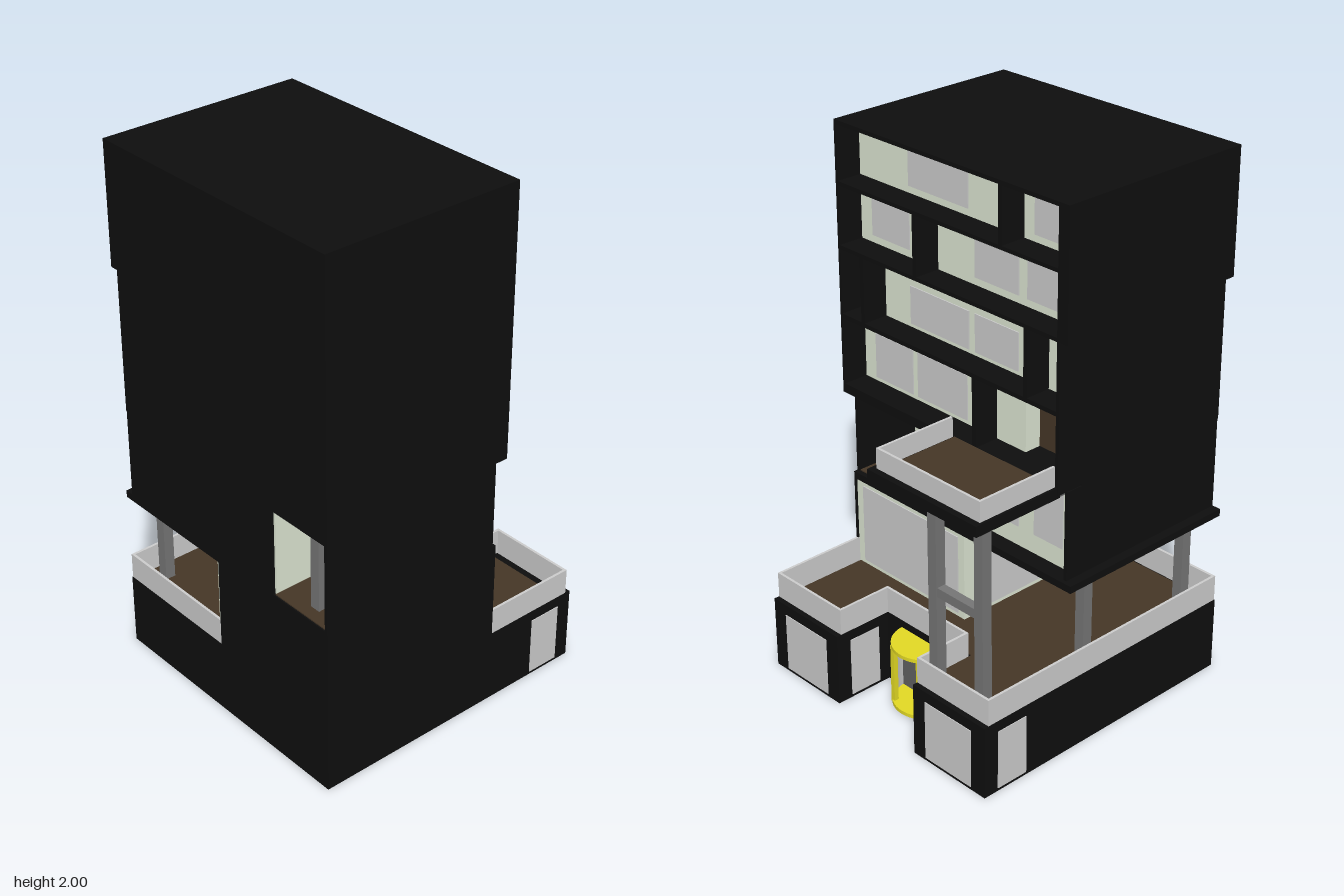
import * as THREE from 'three';

const mat = (color) => new THREE.MeshStandardMaterial({ color, side: THREE.DoubleSide });

export function createModel() {
  const model = new THREE.Group();
  const black = mat(0x0e0e0e), grey = mat(0xcccccc), green = mat(0xdce5d2);
  const brown = mat(0x453626), steel = mat(0x757575), yellow = mat(0xe2d924), dark = mat(0x606060);

  // box from its extents
  const box = (name, m, x0, x1, y0, y1, z0, z1) => {
    const mesh = new THREE.Mesh(new THREE.BoxGeometry(x1 - x0, y1 - y0, z1 - z0), m);
    mesh.position.set((x0 + x1) / 2, (y0 + y1) / 2, (z0 + z1) / 2);
    mesh.name = name;
    model.add(mesh);
    return mesh;
  };
  // horizontal slab from a footprint of [x, z] points
  const slab = (name, m, points, y0, y1) => {
    const shape = new THREE.Shape(points.map(([x, z]) => new THREE.Vector2(x, -z)));
    const geo = new THREE.ExtrudeGeometry(shape, { depth: y1 - y0, bevelEnabled: false });
    geo.rotateX(-Math.PI / 2);
    const mesh = new THREE.Mesh(geo, m);
    mesh.position.y = y0;
    mesh.name = name;
    model.add(mesh);
  };
  // thin parapet panels along [x, z] points
  const parapet = (name, points, y0, y1, t = 0.005) => {
    for (let i = 0; i + 1 < points.length; i++) {
      const [[ax, az], [bx, bz]] = [points[i], points[i + 1]];
      box(name, grey, Math.min(ax, bx) - t, Math.max(ax, bx) + t, y0, y1,
        Math.min(az, bz) - t, Math.max(az, bz) + t);
    }
  };

  // ground floor with the entrance notch on the right side
  slab('groundFloor', black, [[-0.57, 0.55], [0.57, 0.55], [0.57, 0.2], [0.335, 0.2],
    [0.335, -0.2], [0.57, -0.2], [0.57, -0.55], [-0.57, -0.55]], 0, 0.28);
  slab('terraceDeck', brown, [[-0.55, 0.535], [0.51, 0.535], [0.51, 0.21], [0.31, 0.21],
    [0.31, -0.21], [0.51, -0.21], [0.51, -0.535], [-0.55, -0.535]], 0.275, 0.284);
  parapet('terraceParapet', [[0.18, 0.543], [0.545, 0.543], [0.545, 0.205], [0.328, 0.205],
    [0.328, -0.205], [0.545, -0.205], [0.545, -0.543], [-0.563, -0.543], [-0.563, -0.03]], 0.28, 0.38);
  for (const s of [-1, 1]) {
    const a = s > 0 ? 0.26 : -0.485;
    box('shopWindow', grey, 0.56, 0.573, 0.012, 0.24, a, a + 0.225);
    for (const z of [0.55, 0.2])
      box('sideWindow', grey, 0.38, 0.51, 0.012, 0.24, s * z - 0.003, s * z + 0.003);
  }

  // revolving door
  const door = new THREE.Group();
  door.name = 'revolvingDoor';
  door.position.set(0.33, 0, 0);
  const R = 0.125;
  const addDoor = (name, geo, m, x, y, z) => {
    const mesh = new THREE.Mesh(geo, m);
    mesh.name = name;
    mesh.position.set(x, y, z);
    door.add(mesh);
  };
  for (const [name, y] of [['doorCap', 0.245], ['doorBase', 0.01]])
    addDoor(name, new THREE.CylinderGeometry(R, R, 0.014, 40, 1, false, 0, Math.PI), yellow, 0, y, 0);
  addDoor('doorBack', new THREE.BoxGeometry(0.006, 0.225, 0.25), dark, 0.008, 0.127, 0);
  const open = 0.62;
  for (const s of [-1, 1]) {
    const start = s > 0 ? 0 : Math.PI / 2 + open;
    addDoor('curvedGlass', new THREE.CylinderGeometry(R - 0.008, R - 0.008, 0.225, 16, 1, true,
      start, Math.PI / 2 - open), grey, 0, 0.127, 0);
    addDoor('doorPost', new THREE.BoxGeometry(0.018, 0.235, 0.018), yellow,
      Math.cos(open) * (R - 0.01), 0.127, s * Math.sin(open) * (R - 0.01));
  }
  model.add(door);

  // first floor room
  box('firstFloorCore', black, -0.57, 0.165, 0.28, 0.63, -0.02, 0.55);
  box('firstFloorCorner', black, 0.16, 0.18, 0.28, 0.63, 0.54, 0.55);
  box('firstFloorWall', green, 0.16, 0.175, 0.28, 0.63, -0.03, 0.54);
  box('firstFloorBackWall', green, -0.565, 0.165, 0.28, 0.63, -0.03, -0.015);
  box('firstFloorWindow', grey, 0.17, 0.179, 0.3, 0.61, 0.0, 0.505);
  box('firstFloorBackWindow', grey, -0.36, 0.12, 0.3, 0.61, -0.034, -0.025);

  // slab under the tower, with its soffit and columns
  box('towerSlab', black, -0.57, 0.18, 0.628, 0.655, -0.55, 0.55);
  box('towerSoffit', dark, -0.555, 0.165, 0.618, 0.629, -0.505, -0.03);
  for (const x of [-0.47, 0.03])
    box('terraceColumn', steel, x - 0.02, x + 0.02, 0.28, 0.62, -0.49, -0.45);

  // second floor with an open passage behind the front wall
  box('secondFloorCore', black, -0.57, 0.1, 0.655, 1.0, -0.515, 0.275);
  box('passageWall', green, -0.56, 0.115, 0.655, 0.985, 0.27, 0.283);
  box('passageFloor', brown, -0.565, 0.16, 0.654, 0.659, 0.283, 0.54);
  box('passageFrontWall', black, -0.57, 0.165, 0.655, 1.0, 0.538, 0.55);
  box('passageColumn', steel, -0.52, -0.48, 0.655, 0.985, 0.41, 0.45);
  box('secondFloorWall', green, 0.09, 0.115, 0.655, 0.99, -0.505, 0.283);
  box('secondFloorDivider', black, 0.1, 0.165, 0.655, 0.99, 0.17, 0.185);
  box('secondFloorEnd', black, 0.1, 0.165, 0.655, 0.99, -0.515, -0.503);
  for (const [a, b] of [[-0.13, -0.05], [-0.24, -0.185], [-0.45, -0.315]])
    box('secondFloorWindow', grey, 0.11, 0.119, 0.73, 0.945, a, b);

  // upper tower shell
  box('towerCore', black, -0.57, 0.04, 0.985, 2, -0.515, 0.55);
  box('upperBackWall', black, -0.57, 0.215, 1.54, 2, -0.55, -0.505);
  box('lowerBackWall', black, -0.57, 0.215, 1.0, 1.545, -0.518, -0.505);
  box('towerFrontWall', black, -0.57, 0.215, 0.99, 2, 0.54, 0.55);
  for (const [a, b] of [[0.99, 1.025], [1.28, 1.296], [1.538, 1.552], [1.77, 1.784], [1.985, 2]])
    box('floorEdge', black, 0.03, 0.215, a, b, -0.51, 0.545);

  // recessed facade floors: wall panels, dividers and windows
  const floors = [
    { y: [1.296, 1.538], div: [0.43, -0.365], win: [[0, 0.29], [-0.235, -0.03]], wy: [1.31, 1.45] },
    { y: [1.552, 1.77], div: [0.158], win: [[0.29, 0.48], [-0.235, -0.03], [-0.415, -0.275]], wy: [1.58, 1.74] },
    { y: [1.784, 1.985], div: [-0.248], win: [[0, 0.29], [-0.415, -0.305]], wy: [1.81, 1.945] },
    { y: [1.025, 1.28], div: [-0.125], win: [[0.285, 0.48], [0.01, 0.26]], wy: [1.04, 1.21], niche: true },
  ];
  for (const f of floors) {
    const [y0, y1] = f.y;
    if (f.niche) {
      box('facadeWall', green, 0.04, 0.115, y0, y1, -0.27, 0.54);
      box('facadeWall', green, 0.04, 0.115, y0, y1, -0.505, -0.415);
      box('doorLintel', green, 0.04, 0.115, 1.215, y1, -0.415, -0.27);
      box('balconyDoor', brown, 0.04, 0.05, y0, 1.215, -0.415, -0.27);
    } else box('facadeWall', green, 0.04, 0.115, y0, y1, -0.505, 0.54);
    for (const z of f.div) box('facadeDivider', black, 0.1, 0.215, y0, y1, z - 0.008, z + 0.008);
    for (const [a, b] of f.win) box('facadeWindow', grey, 0.11, 0.119, f.wy[0], f.wy[1], a, b);
  }

  // balcony on tall columns
  box('balconySlab', black, 0.2, 0.57, 0.985, 1.025, -0.515, 0.005);
  box('balconySoffit', dark, 0.12, 0.545, 0.976, 0.988, -0.5, -0.02);
  box('balconyDeck', brown, 0.215, 0.525, 1.02, 1.029, -0.49, -0.03);
  parapet('balconyParapet', [[0.22, -0.5], [0.54, -0.5], [0.54, -0.018], [0.22, -0.018]], 1.025, 1.1);
  for (const z of [-0.25, -0.47])
    box('balconyColumn', steel, 0.48, 0.52, 0.28, 0.98, z - 0.02, z + 0.02);
  box('columnBrace', steel, 0.483, 0.517, 0.635, 0.67, -0.46, -0.25);

  return model;
}
